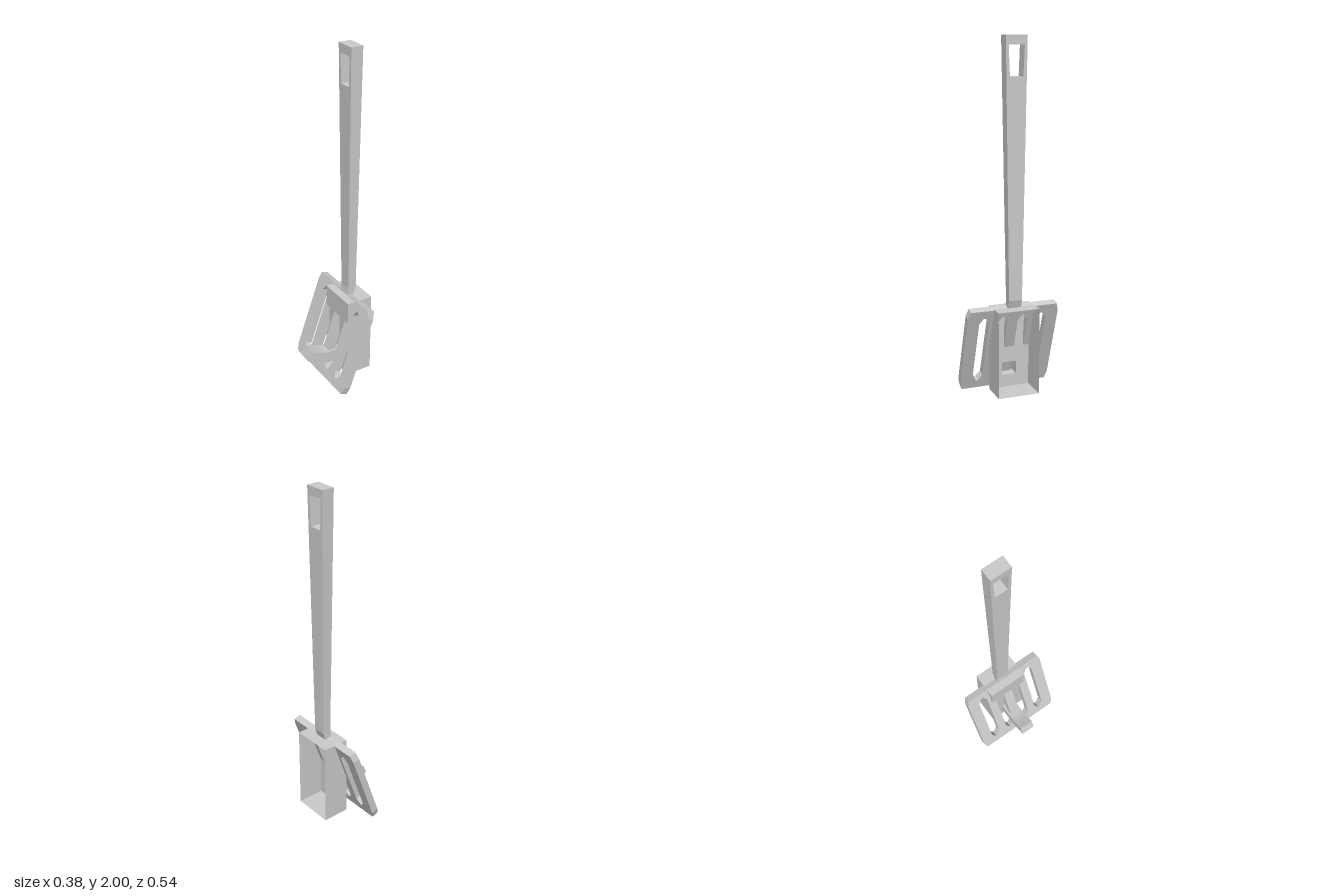
import * as THREE from 'three';
import { toCreasedNormals } from 'three/addons/utils/BufferGeometryUtils.js';

const grey = new THREE.MeshStandardMaterial({ color: 0xcccccc, flatShading: true });
const thin = new THREE.MeshStandardMaterial({ color: 0xcccccc, side: THREE.DoubleSide });

function outline(points, Type = THREE.Shape) {
  return new Type(points.map(([x, y]) => new THREE.Vector2(x, y)));
}

function addMesh(parent, name, geometry, material = grey) {
  const mesh = new THREE.Mesh(geometry, material);
  mesh.name = name;
  parent.add(mesh);
  return mesh;
}

// Plate drawn in the z-y plane, with its thickness centred on x = 0
function plate(shape, thickness) {
  return new THREE.ExtrudeGeometry(shape, { depth: thickness, bevelEnabled: false })
    .translate(0, 0, -thickness / 2)
    .rotateY(Math.PI / 2);
}

// Slotted blade with clipped corners, leaning towards +x
function makeBlade() {
  const w = 0.269, h = 0.271, cw = 0.013, ch = 0.045;
  const shape = outline([
    [-w, -h + ch], [-w + cw, -h], [w - cw, -h], [w, -h + ch],
    [w, h - ch], [w - cw, h], [-w + cw, h], [-w, h - ch],
  ]);
  const sw = 0.029, sh = 0.22, tip = 0.035;
  for (const c of [-0.17, -0.059, 0.059, 0.17]) {
    shape.holes.push(outline([
      [c - sw, -sh + tip], [c - sw, sh - tip], [c - 0.006, sh], [c + 0.006, sh],
      [c + sw, sh - tip], [c + sw, -sh + tip], [c + 0.006, -sh], [c - 0.006, -sh],
    ], THREE.Path));
  }
  return plate(shape, 0.042).rotateZ(-0.339).translate(0.01, 0.2625, 0);
}

// Handle widening upwards, with a hanging hole near its end
function makeHandle() {
  const y0 = 0.56, y1 = 2;
  const shape = outline([[-0.038, y0], [0.038, y0], [0.061, y1], [-0.061, y1]]);
  shape.holes.push(outline([[-0.038, 1.785], [-0.045, 1.95], [0.045, 1.95], [0.038, 1.785]], THREE.Path));
  const geometry = plate(shape, 1);
  const p = geometry.attributes.position;
  for (let i = 0; i < p.count; i++) {
    const t = (p.getY(i) - y0) / (y1 - y0);
    p.setX(i, 0.109 + p.getX(i) * THREE.MathUtils.lerp(0.05, 0.072, t));
  }
  geometry.computeVertexNormals();
  return geometry;
}

// Short bent neck joining handle and blade
function makeNeck() {
  const side = outline([[0.078, 0.52], [0.118, 0.506], [0.134, 0.56], [0.084, 0.56]]);
  return new THREE.ExtrudeGeometry(side, { depth: 0.076, bevelEnabled: false }).translate(0, 0, -0.038);
}

// Hollow hook: rectangular sections along an upward curve, open at the holder
function makeHook() {
  const curve = (pts) => new THREE.CubicBezierCurve(...pts.map(([x, y]) => new THREE.Vector2(x, y)));
  const top = curve([[-0.05, 0.165], [-0.09, 0.167], [-0.13, 0.186], [-0.17, 0.204]]).getPoints(8);
  const low = curve([[-0.06, 0.09], [-0.105, 0.094], [-0.145, 0.122], [-0.193, 0.148]]).getPoints(8);
  top.unshift(new THREE.Vector2(0.03, 0.165));
  low.unshift(new THREE.Vector2(0.03, 0.09));
  const hw = 0.043, positions = [], index = [];
  top.forEach((t, i) => {
    const b = low[i];
    positions.push(t.x, t.y, hw, t.x, t.y, -hw, b.x, b.y, -hw, b.x, b.y, hw);
    if (i === 0) return;
    for (let k = 0; k < 4; k++) {
      const a = (i - 1) * 4 + k, c = (i - 1) * 4 + (k + 1) % 4;
      index.push(a, c, a + 4, c, c + 4, a + 4);
    }
  });
  const e = (top.length - 1) * 4;
  index.push(e, e + 1, e + 2, e, e + 2, e + 3);
  const geometry = new THREE.BufferGeometry();
  geometry.setAttribute('position', new THREE.Float32BufferAttribute(positions, 3));
  geometry.setIndex(index);
  return toCreasedNormals(geometry, 0.5);
}

// Thin-walled holder, open towards +x, its back wall pierced for the hook
function makeHolder() {
  const holder = new THREE.Group();
  holder.name = 'holder';
  const x0 = 0.03, x1 = 0.19, y0 = 0.018, y1 = 0.515, hz = 0.12;
  const depth = x1 - x0, height = y1 - y0, cx = (x0 + x1) / 2, cy = (y0 + y1) / 2;

  const back = outline([[-hz, y0], [hz, y0], [hz, y1], [-hz, y1]]);
  back.holes.push(outline([[-0.043, 0.09], [-0.043, 0.165], [0.043, 0.165], [0.043, 0.09]], THREE.Path));
  addMesh(holder, 'backWall', new THREE.ShapeGeometry(back).rotateY(-Math.PI / 2).translate(x0, 0, 0), thin);

  for (const s of [1, -1]) {
    const side = new THREE.PlaneGeometry(depth, height);
    if (s < 0) side.rotateY(Math.PI);
    addMesh(holder, s > 0 ? 'frontWall' : 'rearWall', side.translate(cx, cy, s * hz), thin);
    const lid = new THREE.PlaneGeometry(depth, 2 * hz).rotateX(-s * Math.PI / 2);
    addMesh(holder, s > 0 ? 'topWall' : 'bottomWall', lid.translate(cx, s > 0 ? y1 : y0, 0), thin);
  }
  return holder;
}

export function createModel() {
  const model = new THREE.Group();
  model.name = 'spatulaWithHolder';
  addMesh(model, 'blade', makeBlade());
  addMesh(model, 'neck', makeNeck());
  addMesh(model, 'handle', makeHandle());
  addMesh(model, 'hook', makeHook(), thin);
  model.add(makeHolder());
  return model;
}
